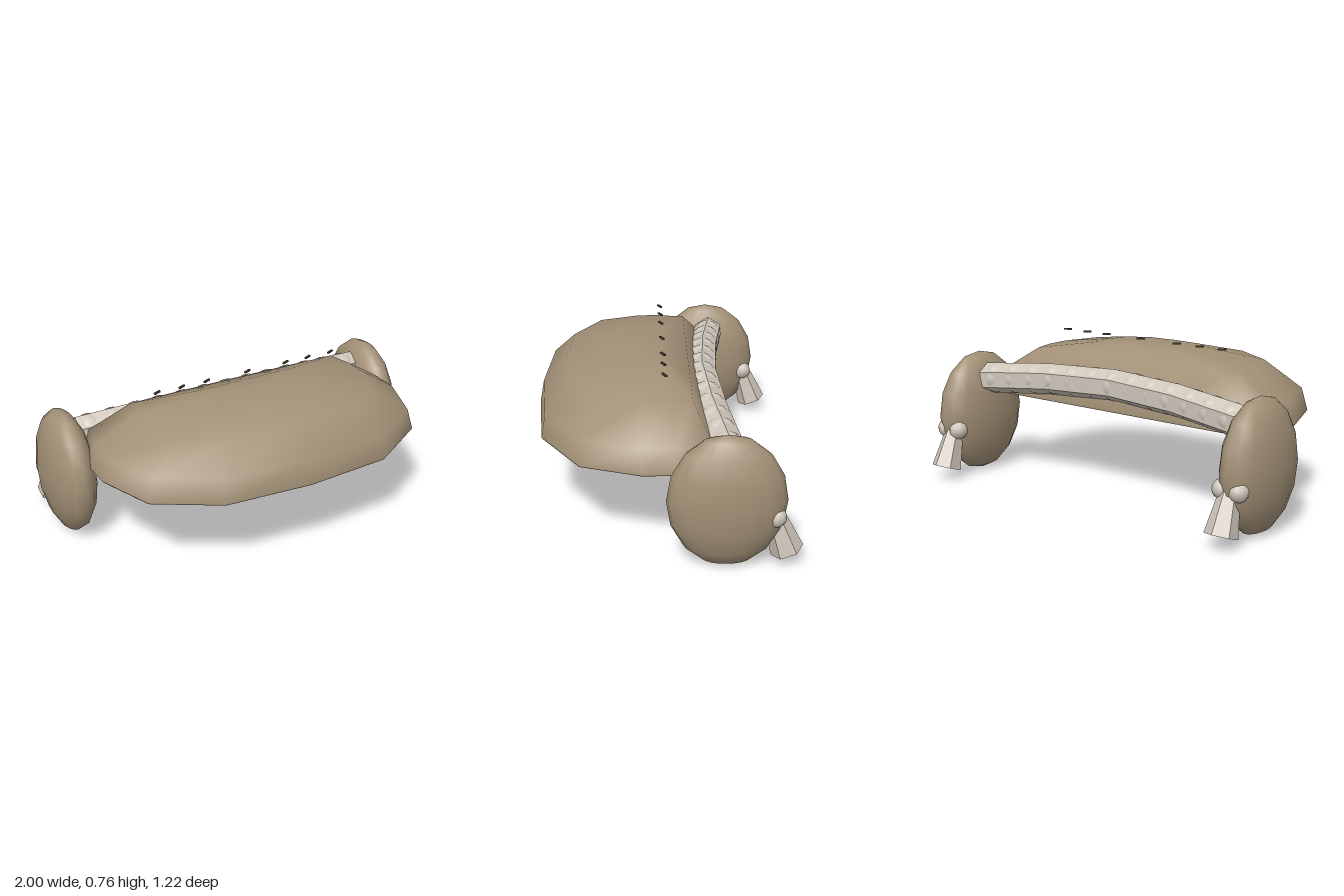
import * as THREE from 'three';

export function createModel() {
  const brown = new THREE.MeshStandardMaterial({ color: 0xa39177 });
  brown.name = 'warm brown';
  const cream = new THREE.MeshStandardMaterial({ color: 0xd0c7bb, side: THREE.DoubleSide });
  cream.name = 'pale stone';
  const creamFlat = cream;
  const dark = new THREE.MeshStandardMaterial({ color: 0x4a423a });
  dark.name = 'dark stud';

  const model = new THREE.Group();
  model.name = 'model';
  const add = (parent, name, geometry, material, x = 0, y = 0, z = 0) => {
    const mesh = new THREE.Mesh(geometry, material);
    mesh.name = name;
    mesh.position.set(x, y, z);
    parent.add(mesh);
    return mesh;
  };
  // Facets from any geometry
  const faceted = (g) => {
    const f = g.toNonIndexed();
    f.computeVertexNormals();
    return f;
  };

  // Domed shell: one half outline, mirrored, lofted through shrinking rings
  const half = [[0, 0.61], [0.44, 0.575], [0.74, 0.39], [0.84, 0.11],
    [0.84, -0.05], [0.8, -0.22], [0.4, -0.22], [0, -0.22]];
  const outline = [...half, ...half.slice(1, -1).reverse().map(([x, z]) => [-x, z])];
  const n = outline.length;
  const cz = 0.11;
  const rings = [[0.42, 0.99], [0.43, 1], [0.54, 0.96], [0.67, 0.72], [0.715, 0.35]];
  const pos = [];
  const index = [];
  rings.forEach(([y, s], r) => {
    outline.forEach(([x, z], i) => {
      pos.push(x * s, y, cz + (z - cz) * s);
      if (r === 0) return;
      const j = (i + 1) % n;
      const a = (r - 1) * n;
      const b = r * n;
      index.push(a + i, a + j, b + j, a + i, b + j, b + i);
    });
  });
  const apex = pos.length / 3;
  pos.push(0, 0.725, cz);
  for (let i = 0; i < n; i++) index.push(apex - n + i, apex - n + ((i + 1) % n), apex);
  const dome = new THREE.BufferGeometry();
  dome.setAttribute('position', new THREE.Float32BufferAttribute(pos, 3));
  dome.setIndex(index);
  dome.computeVertexNormals();
  add(model, 'shell', dome, brown);

  // Flat underside of the shell
  const under = new THREE.ShapeGeometry(
    new THREE.Shape(outline.map(([x, z]) => new THREE.Vector2(x * 0.99, cz + (z - cz) * 0.99))));
  under.rotateX(Math.PI / 2);
  add(model, 'shellUnderside', under, brown, 0, 0.42, 0);

  // Arched six-sided bar along the back
  const path = new THREE.CatmullRomCurve3([[-0.8, 0.505, -0.28], [-0.4, 0.54, -0.225],
    [0, 0.555, -0.2], [0.4, 0.54, -0.225], [0.8, 0.505, -0.28]].map((p) => new THREE.Vector3(...p)));
  add(model, 'backBar', faceted(new THREE.TubeGeometry(path, 4, 0.08, 6)), creamFlat);

  // Beads swelling out through the faces of the bar
  const bead = new THREE.SphereGeometry(0.077, 12, 10);
  for (let i = 0; i < 13; i++) {
    const p = path.getPointAt((i + 0.5) / 13);
    add(model, 'bead', bead, cream, p.x, p.y, p.z);
  }

  // Small studs hovering above the shell
  for (const x of [-0.49, -0.36, -0.225, 0, 0.22, 0.35, 0.485]) {
    const stud = add(model, 'stud', new THREE.BoxGeometry(0.04, 0.008, 0.01), dark, x, 0.76, 0);
    stud.rotation.y = 0.45;
  }

  // Side pads, each with a pair of knobs and a flared claw behind
  const pad = new THREE.SphereGeometry(1, 16, 8);
  pad.scale(0.122, 0.318, 0.27);
  const claw = faceted(new THREE.CylinderGeometry(0.045, 0.077, 0.21, 6));
  const knob = new THREE.SphereGeometry(0.048, 10, 8);
  for (const s of [-1, 1]) {
    const side = new THREE.Group();
    side.name = s > 0 ? 'leftSide' : 'rightSide';
    model.add(side);
    add(side, 'sidePad', pad, brown, s * 0.878, 0.32, -0.267);
    const c = add(side, 'claw', claw, creamFlat, s * 0.864, 0.16, -0.507);
    c.rotation.x = 0.34;
    for (const dx of [-0.042, 0.042]) {
      add(side, 'knob', knob, cream, s * (0.87 + dx), 0.255, -0.482);
    }
  }
  return model;
}
